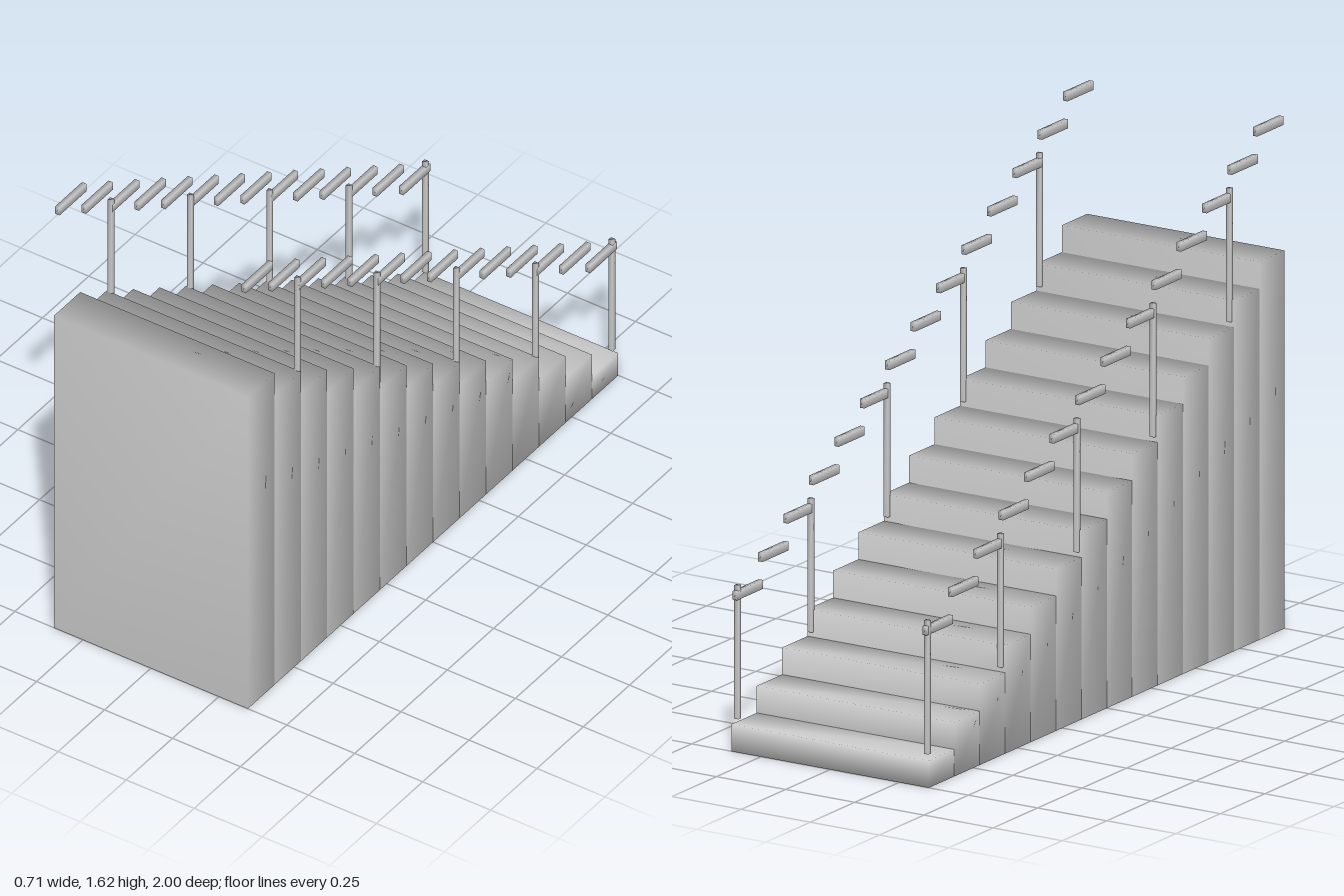
import * as THREE from 'three';
import { mergeVertices } from 'three/addons/utils/BufferGeometryUtils.js';

const STEPS = 14;
const RUN = 2 / STEPS;      // depth of one step
const RISE = 1.2 / STEPS;   // height of one step
const WIDTH = 0.714;
const RAIL_X = 0.343;
const BAR = 0.016;          // thickness of posts and rails

const material = new THREE.MeshStandardMaterial({ color: 0xcccccc });

// Box with welded corners, so its shading is smooth around the edges
function softBox(w, h, d) {
  const box = new THREE.BoxGeometry(w, h, d);
  box.deleteAttribute('normal');
  box.deleteAttribute('uv');
  const welded = mergeVertices(box);
  welded.computeVertexNormals();
  return welded;
}

function addBox(parent, name, w, h, d, x, y, z) {
  const mesh = new THREE.Mesh(softBox(w, h, d), material);
  mesh.name = name;
  mesh.position.set(x, y, z);
  parent.add(mesh);
}

export function createModel() {
  const model = new THREE.Group();
  model.name = 'staircase';

  // Solid steps, lowest at the back, each reaching down to the ground
  const steps = new THREE.Group();
  steps.name = 'steps';
  for (let i = 0; i < STEPS; i++) {
    const h = RISE * (i + 1);
    addBox(steps, 'step', WIDTH, h, RUN, 0, h / 2, -1 + RUN * (i + 0.5));
  }
  model.add(steps);

  // A stepped railing on each side
  for (const side of [1, -1]) {
    const railing = new THREE.Group();
    railing.name = side > 0 ? 'leftRailing' : 'rightRailing';

    // One short level rail above every step
    for (let i = 0; i < STEPS; i++) {
      addBox(railing, 'handrail', BAR, 0.028, RUN + 0.003,
        side * RAIL_X, RISE * (i + 1) + 0.411, -1 + RUN * (i + 0.5));
    }

    // Posts: one at the foot, then at the front edge of every third step
    const postHeight = 0.424;
    for (const i of [0, 2, 5, 8, 11]) {
      const z = i === 0 ? -0.986 : -1 + RUN * (i + 1) - 0.003;
      addBox(railing, 'post', BAR, postHeight, 0.014,
        side * RAIL_X, RISE * (i + 1) + 0.017 + postHeight / 2, z);
    }
    model.add(railing);
  }

  return model;
}
